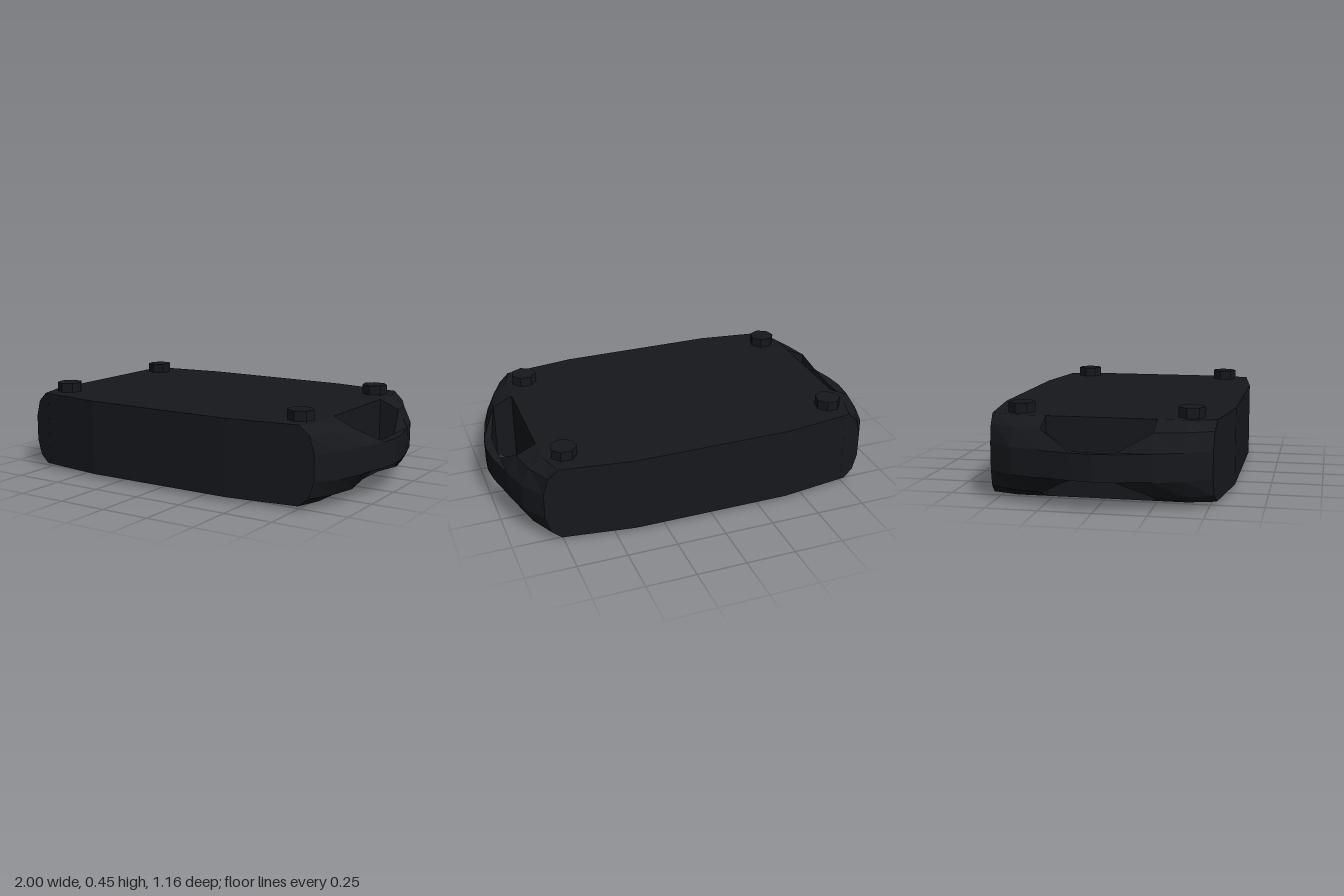
import * as THREE from 'three';

const material = new THREE.MeshStandardMaterial({ color: 0x16181c, flatShading: true });

function add(parent, name, geometry, x = 0, y = 0, z = 0) {
  const mesh = new THREE.Mesh(geometry, material);
  mesh.name = name;
  mesh.position.set(x, y, z);
  parent.add(mesh);
  return mesh;
}

// Skin between equal rings of [x, y, z], ordered by rising z, with closed ends
function loft(rings) {
  const n = rings[0].length, index = [], last = (rings.length - 1) * n;
  for (let i = 0; i < rings.length - 1; i++) {
    for (let j = 0; j < n; j++) {
      const a = i * n + j, b = i * n + (j + 1) % n;
      index.push(a, a + n, b, b, a + n, b + n);
    }
  }
  for (let j = 1; j < n - 1; j++) {
    index.push(0, j, j + 1, last, last + j + 1, last + j);
  }
  const geometry = new THREE.BufferGeometry();
  geometry.setAttribute('position', new THREE.Float32BufferAttribute(rings.flat(2), 3));
  geometry.setIndex(index);
  const flat = geometry.toNonIndexed();
  flat.computeVertexNormals();
  return flat;
}

// Chamfered section of a corner; the outermost one follows the slanted long side
function cornerRing(z, top, mid, out) {
  const points = [[0.74, 0.4], [top, 0.4], [mid, 0.355], [out, 0.27],
    [out, 0.14], [mid, 0.06], [top, 0.02], [0.74, 0.02]];
  return points.map(([x, y]) => {
    const edge = 0.58 - (x - 0.4) * 0.136;
    return [x, y, Math.abs(z) > 0.5 ? Math.sign(z) * edge : z];
  });
}

// Section of the grip bar, taller on its inner side where it meets the corners
function gripRing(z, inner, outer, innerTop, innerBottom) {
  return [[inner, innerTop, z], [outer, 0.268, z], [outer, 0.142, z], [inner, innerBottom, z]];
}

function createEnd(name) {
  const end = new THREE.Group();
  end.name = name;
  const sections = [[0.525, 0.76, 0.81, 0.835], [0.4, 0.8, 0.87, 0.91], [0.26, 0.8, 0.9, 0.953]];
  add(end, 'frontCorner', loft([...sections].reverse().map((s) => cornerRing(...s))));
  add(end, 'backCorner', loft(sections.map(([z, ...xs]) => cornerRing(-z, ...xs))));
  const grip = [[0.26, 0.9, 0.953, 0.355, 0.06], [0.1, 0.95, 0.99, 0.268, 0.142], [0, 0.952, 1, 0.265, 0.145]];
  add(end, 'grip', loft([
    ...grip.map(([z, ...rest]) => gripRing(-z, ...rest)),
    ...grip.slice(0, 2).reverse().map((g) => gripRing(...g)),
  ]));
  return end;
}

export function createModel() {
  const model = new THREE.Group();
  model.name = 'carryCase';

  // Flat body with slightly tapered long sides
  const quarter = [[0.8, 0.4], [0.75, 0.532], [0.4, 0.58]];
  const half = [...quarter, ...[...quarter].reverse().map(([x, z]) => [-x, z])];
  const outline = [...half, ...half.map(([x, z]) => [-x, -z])];
  const body = new THREE.ExtrudeGeometry(
    new THREE.Shape(outline.map(([x, z]) => new THREE.Vector2(x, z))),
    { depth: 0.38, bevelEnabled: false },
  );
  body.rotateX(-Math.PI / 2);
  add(model, 'body', body, 0, 0.02, 0);

  // Corners and grips at both ends
  model.add(createEnd('leftEnd'));
  const right = createEnd('rightEnd');
  right.rotation.y = Math.PI;
  model.add(right);

  // Knobs on top
  for (const x of [-0.7, 0.7]) {
    for (const z of [-0.405, 0.405]) {
      add(model, 'knob', new THREE.CylinderGeometry(0.065, 0.065, 0.06, 7), x, 0.418, z);
    }
  }

  // Shallow swelling and pad underneath
  add(model, 'bottomSwelling', new THREE.CylinderGeometry(0.55, 0.25, 0.012, 8), 0, 0.015, 0);
  add(model, 'bottomPad', new THREE.CylinderGeometry(0.14, 0.11, 0.012, 8), 0, 0.006, -0.02);

  return model;
}
